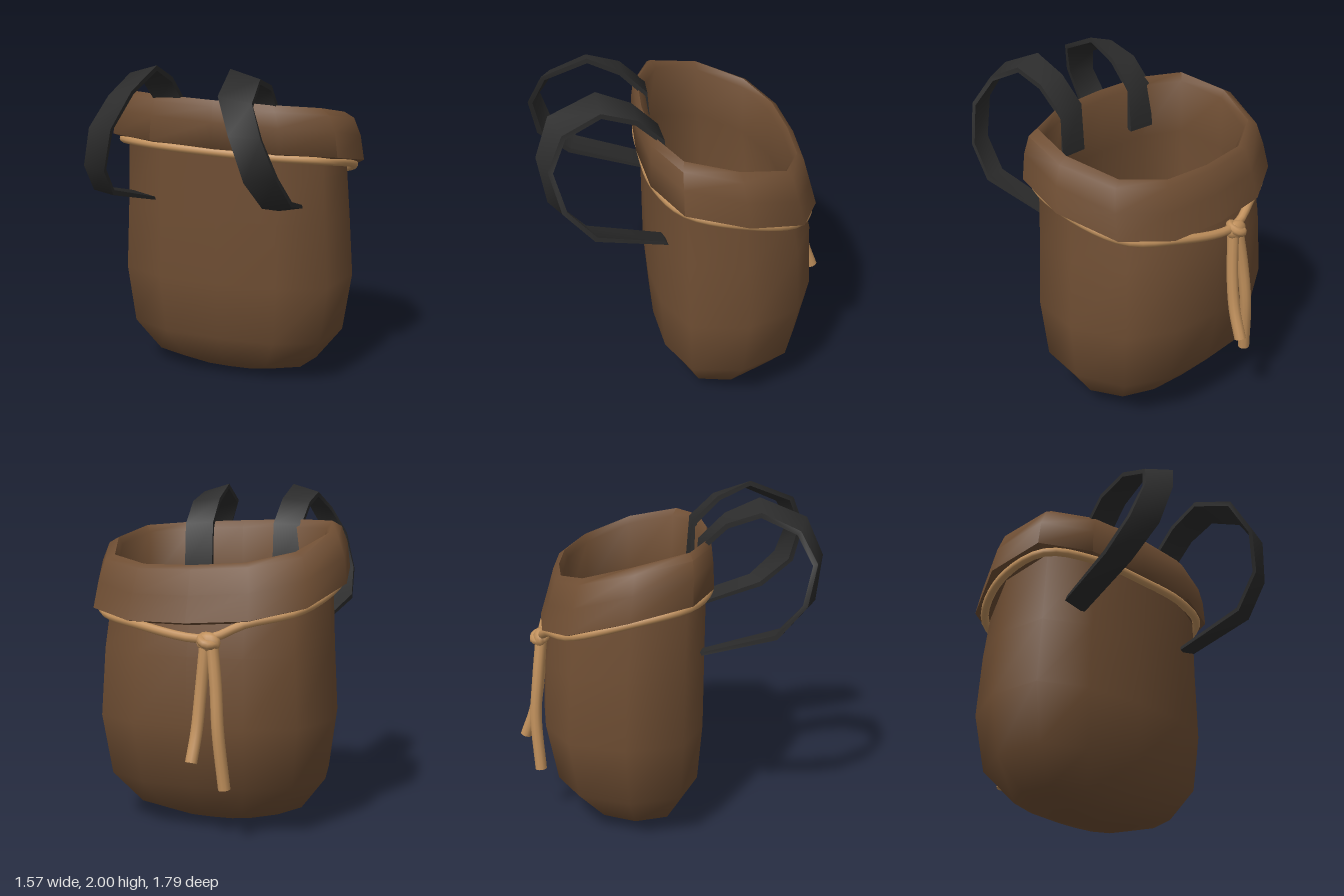
import * as THREE from 'three';
import { mergeVertices, mergeGeometries, toCreasedNormals } from 'three/addons/utils/BufferGeometryUtils.js';

const V = (x, y, z) => new THREE.Vector3(x, y, z);

// Half of the twelve-sided bag outline, front to back, in units of half width and half depth
const HALF = [[0, 1], [0.52, 0.95], [0.91, 0.68], [1, 0], [0.83, -0.66], [0.46, -0.95], [0, -1]];
const OUTLINE = [...HALF, ...HALF.slice(1, 6).reverse().map(([x, z]) => [-x, z])];

// Cross-section of the bag: half width, front z, back z, front height, drop towards the back
function ring(w, zf, zb, y, drop = 0) {
  return OUTLINE.map(([u, v]) => {
    const x = u * w;
    const tilt = drop ? -0.035 * x : 0;
    return V(x + 0.01, y + tilt - drop * Math.pow((1 - v) / 2, 1.6), (zf + zb) / 2 + v * (zf - zb) / 2);
  });
}

// Skin a list of equal-length closed cross-sections
function loft(rings, crease, capped = false) {
  const n = rings[0].length;
  const index = [];
  for (let r = 0; r < rings.length - 1; r++) {
    for (let i = 0; i < n; i++) {
      const a = r * n + i, b = r * n + (i + 1) % n;
      index.push(a, b, b + n, a, b + n, a + n);
    }
  }
  if (capped) {
    const e = (rings.length - 1) * n;
    for (let i = 1; i < n - 1; i++) index.push(0, i + 1, i, e, e + i, e + i + 1);
  }
  let geo = new THREE.BufferGeometry().setFromPoints(rings.flat());
  geo.setIndex(index);
  geo = mergeVertices(geo);
  return toCreasedNormals(geo, crease);
}

// Round cord along a curve, with flat ends when open
function cord(points, radius, closed = false) {
  const curve = new THREE.CatmullRomCurve3(points, closed);
  const parts = [new THREE.TubeGeometry(curve, points.length * 5, radius, 10, closed)];
  if (!closed) {
    for (const t of [0, 1]) {
      const dir = curve.getTangent(t).multiplyScalar(t ? 1 : -1);
      const cap = new THREE.CircleGeometry(radius, 10);
      cap.applyQuaternion(new THREE.Quaternion().setFromUnitVectors(V(0, 0, 1), dir));
      const p = curve.getPoint(t);
      parts.push(cap.translate(p.x, p.y, p.z));
    }
  }
  return mergeGeometries(parts);
}

export function createModel() {
  const model = new THREE.Group();
  model.name = 'drawstringBag';
  const leather = new THREE.MeshStandardMaterial({ color: 0x6f4e33 });
  const rope = new THREE.MeshStandardMaterial({ color: 0xc0905c });
  const webbing = new THREE.MeshStandardMaterial({ color: 0x2c2c2c });
  const add = (name, geo, mat, parent = model) => {
    const mesh = new THREE.Mesh(geo, mat);
    mesh.name = name;
    parent.add(mesh);
    return mesh;
  };

  // Rounded sack
  add('body', loft([
    ring(0, -0.18, -0.18, 0),
    ring(0.28, -0.02, -0.34, 0.02),
    ring(0.52, 0.09, -0.48, 0.09),
    ring(0.675, 0.21, -0.675, 0.29),
    ring(0.725, 0.24, -0.745, 0.65),
    ring(0.70, 0.245, -0.725, 1.05),
    ring(0.68, 0.25, -0.68, 1.48, 0.25),
  ], 1.2), leather);

  // Folded collar, sloping down to the back and turning into the lining
  add('collarAndLining', loft([
    ring(0.68, 0.24, -0.67, 1.47, 0.25),
    ring(0.785, 0.295, -0.745, 1.5, 0.26),
    ring(0.765, 0.288, -0.70, 1.65, 0.26),
    ring(0.725, 0.278, -0.66, 1.74, 0.21),
    ring(0.665, 0.255, -0.625, 1.775, 0.22),
    ring(0.635, 0.215, -0.60, 1.73, 0.22),
    ring(0.635, 0.21, -0.61, 1.4, 0.2),
    ring(0.665, 0.2, -0.69, 0.65),
    ring(0.61, 0.16, -0.61, 0.3),
    ring(0.46, 0.05, -0.42, 0.12),
    ring(0, -0.18, -0.18, 0.06),
  ], 1.2), leather);

  // Drawstring under the collar, gathered at the knot
  const tie = new THREE.Group();
  tie.name = 'drawstring';
  model.add(tie);
  const loop = ring(0.715, 0.262, -0.71, 1.47, 0.25);
  loop[6] = V(-0.12, 1.16, -0.735);
  add('cordLoop', cord(loop, 0.026, true), rope, tie);

  // Knot: squashed ball with a wrap around it
  const knot = add('knot', new THREE.SphereGeometry(0.06, 12, 8), rope, tie);
  knot.scale.set(1.2, 0.95, 0.7);
  knot.position.set(-0.13, 1.14, -0.745);
  const wrap = add('knotWrap', new THREE.TorusGeometry(0.042, 0.026, 8, 14), rope, tie);
  wrap.position.set(-0.13, 1.15, -0.745);
  wrap.rotation.set(1.2, 0.35, 0);

  // Hanging cord ends
  add('shortCordEnd', cord([
    V(-0.11, 1.13, -0.74), V(-0.09, 0.85, -0.765), V(-0.08, 0.65, -0.80), V(-0.07, 0.48, -0.86),
  ], 0.035), rope, tie);
  add('longCordEnd', cord([
    V(-0.15, 1.13, -0.74), V(-0.18, 0.9, -0.765), V(-0.2, 0.65, -0.785), V(-0.23, 0.32, -0.765),
  ], 0.035), rope, tie);

  // Shoulder strap stations: inner edge, outer edge
  const stations = [
    [V(0.20, 1.48, 0.17), V(0.38, 1.48, 0.16)],
    [V(0.20, 1.76, 0.19), V(0.38, 1.75, 0.18)],
    [V(0.21, 1.91, 0.34), V(0.39, 1.89, 0.33)],
    [V(0.22, 2.00, 0.54), V(0.39, 1.95, 0.53)],
    [V(0.25, 1.89, 0.81), V(0.42, 1.85, 0.75)],
    [V(0.34, 1.69, 0.895), V(0.50, 1.68, 0.84)],
    [V(0.41, 1.44, 0.85), V(0.57, 1.45, 0.78)],
    [V(0.45, 1.26, 0.66), V(0.60, 1.27, 0.61)],
    [V(0.395, 1.13, 0.19), V(0.54, 1.16, 0.19)],
  ];
  const centre = V(0, 1.56, 0.5);
  for (const side of [1, -1]) {
    const rings = stations.map(([a, b]) => {
      // Thickness towards the middle of the strap's arc
      const inward = V(0, centre.y - a.y, centre.z - a.z).setLength(0.03);
      const section = [b.clone().add(inward), b.clone(), a.clone(), a.clone().add(inward)];
      section.forEach((p) => { p.x *= side; });
      return side > 0 ? section : section.reverse();
    });
    add(side > 0 ? 'leftStrap' : 'rightStrap', loft(rings, 0.9, true), webbing);
  }
  return model;
}
